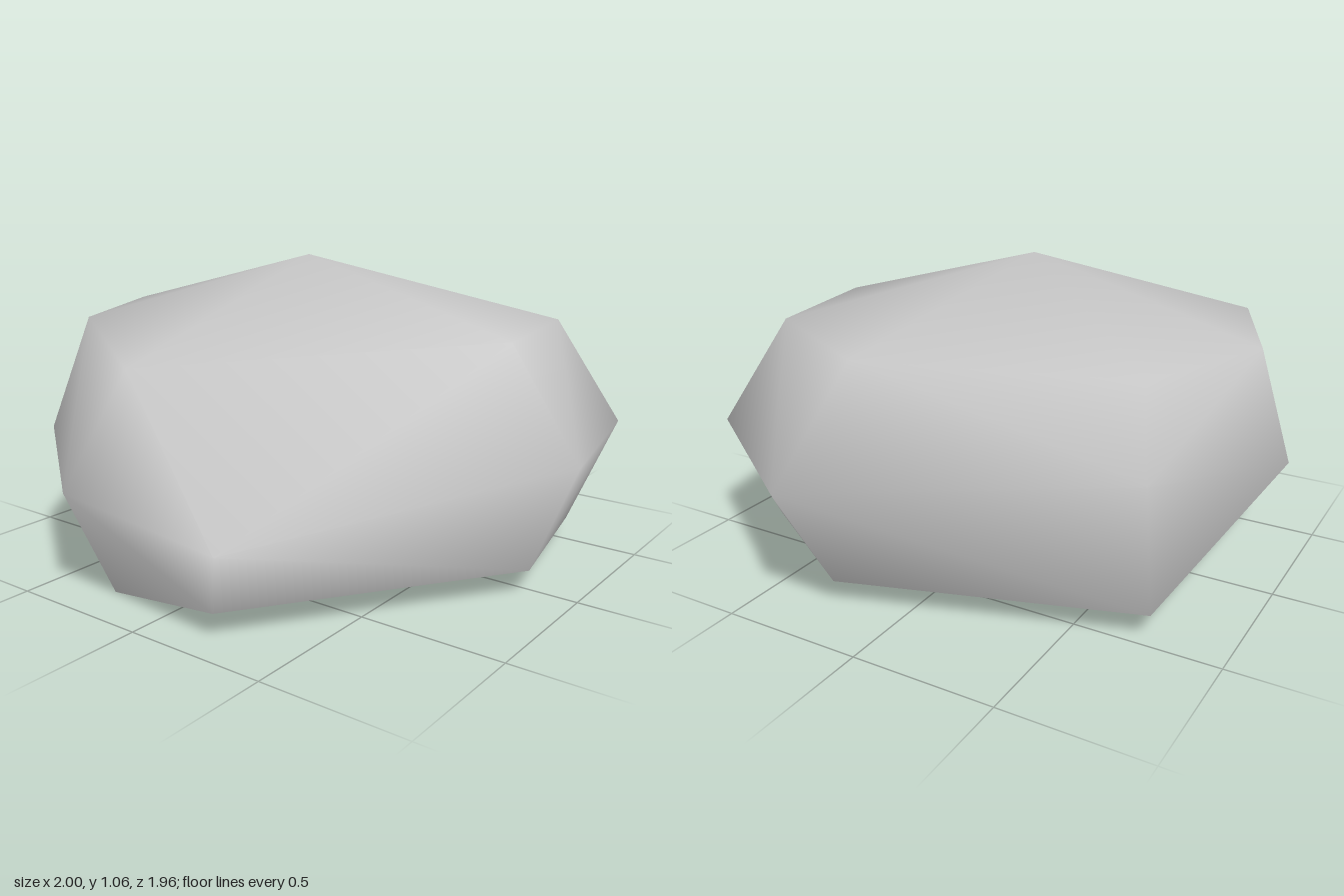
import * as THREE from 'three';
import { mergeVertices } from 'three/addons/utils/BufferGeometryUtils.js';
import { ConvexGeometry } from 'three/addons/geometries/ConvexGeometry.js';

// Uneven rings of the boulder, [x, z] or [x, z, own height]
const rings = [
  // open rim, with one low toe at the front
  { y: 0.09, points: [[0.85, 0.05], [0.24, 0.9], [-0.26, 0.83, 0], [-0.76, 0.57],
    [-0.75, -0.47], [0.24, -0.79], [0.74, -0.48]] },
  // widest girth
  { y: 0.465, points: [[1, 0.04], [0.3, 0.955, 0.3], [-0.31, 0.98, 0.375], [-0.7, 0.69],
    [-1, 0.05], [-0.77, -0.59, 0.58], [0.3, -0.98], [0.88, -0.57]] },
  // shoulder
  { y: 0.835, points: [[0.755, 0.05], [-0.24, 0.76, 0.745], [-0.68, 0.52], [-0.88, 0.06],
    [-0.68, -0.42], [0.2, -0.7], [0.69, -0.43]] },
  // peak
  { y: 1.06, points: [[-0.04, 0.06]] },
];
const RIM_TOP = 0.1;

export function createModel() {
  const stone = new THREE.MeshStandardMaterial({ color: 0xc4c4c4, side: THREE.DoubleSide });
  stone.name = 'stone grey';

  const corners = rings.flatMap(({ y, points }) =>
    points.map(([x, z, own = y]) => new THREE.Vector3(x, own, z)));

  // Wrap the rings in one skin and drop the faces that would close the underside
  const hull = new ConvexGeometry(corners).getAttribute('position');
  const shell = [];
  for (let i = 0; i < hull.count; i += 3) {
    const face = [0, 1, 2].map((k) => new THREE.Vector3().fromBufferAttribute(hull, i + k));
    if (face.some((p) => p.y > RIM_TOP)) shell.push(...face);
  }

  // Share corners for smooth normals
  const skin = mergeVertices(new THREE.BufferGeometry().setFromPoints(shell), 1e-4);
  skin.computeVertexNormals();

  const boulder = new THREE.Mesh(skin, stone);
  boulder.name = 'boulder';

  const group = new THREE.Group();
  group.name = 'rock';
  group.add(boulder);
  return group;
}
